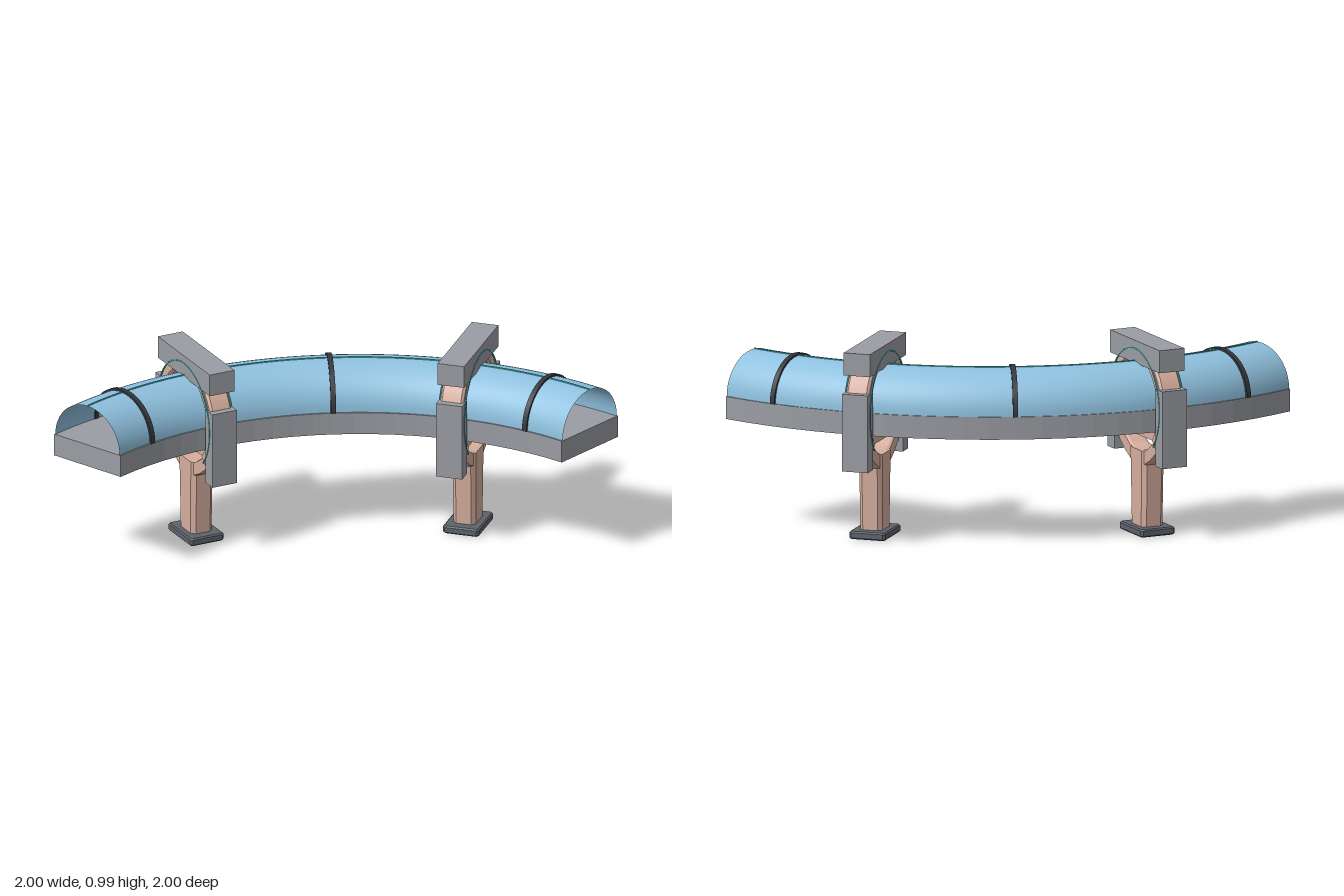
import * as THREE from 'three';

const mat = (name, color, side = THREE.FrontSide) => {
  const m = new THREE.MeshStandardMaterial({ color, side });
  m.name = name;
  return m;
};
const R = 1.782;      // centre-line radius of the bend, about the point x = 1, z = 1
const RAIL_Y = 0.67;  // top of the channel base
const RING_Y = 0.665; // centre of the support rings
const rad = THREE.MathUtils.degToRad;

export function createModel() {
  const glass = mat('blue glass', 0x8fc1df, THREE.DoubleSide);
  const grey = mat('grey metal', 0x9a9da3);
  const black = mat('black band', 0x35373d);
  const clay = mat('pink clay', 0xd6ae9e);
  const slate = mat('slate foot', 0x5d626c);
  const cyan = mat('cyan light', 0x3fcdd2);

  const model = new THREE.Group();
  model.name = 'curvedTubeway';

  const add = (parent, name, geo, material, x = 0, y = 0, z = 0) => {
    const mesh = new THREE.Mesh(geo, material);
    mesh.name = name;
    mesh.position.set(x, y, z);
    parent.add(mesh);
    return mesh;
  };
  const box = (parent, name, material, size, x, y, z = 0) =>
    add(parent, name, new THREE.BoxGeometry(...size), material, x, y, z);

  // Quarter-turn sweep of a (radial offset, height) profile
  const sweep = (profile, segments) => new THREE.LatheGeometry(
    profile.map(([r, y]) => new THREE.Vector2(R + r, y)), segments, Math.PI, Math.PI / 2);

  // Local frame across the tube: x points outward, z along the tube
  const frameAt = (name, degrees) => {
    const g = new THREE.Group();
    const a = rad(degrees);
    g.name = name;
    g.position.set(1 - R * Math.cos(a), 0, 1 - R * Math.sin(a));
    g.rotation.y = Math.PI - a;
    model.add(g);
    return g;
  };

  // Flat arc of a ring, centred on its own thickness
  const arcGeo = (inner, outer, from, to, depth, bevel = 0) => {
    const s = new THREE.Shape();
    s.absarc(0, 0, outer - bevel, rad(from), rad(to), false);
    s.absarc(0, 0, inner + bevel, rad(to), rad(from), true);
    const g = new THREE.ExtrudeGeometry(s, {
      depth: depth - 2 * bevel, curveSegments: 32, bevelEnabled: bevel > 0,
      bevelSize: bevel, bevelThickness: bevel, bevelSegments: 1,
    });
    return g.translate(0, 0, bevel - depth / 2);
  };

  // Chamfered block standing on y = 0, its top scaled by (tx, tz)
  const blockGeo = (w, h, d, cut, bevel, tx = 1, tz = 1) => {
    const x = w / 2 - bevel, z = d / 2 - bevel;
    const s = new THREE.Shape([
      [x - cut, -z], [x, cut - z], [x, z - cut], [x - cut, z],
      [cut - x, z], [-x, z - cut], [-x, cut - z], [cut - x, -z],
    ].map(p => new THREE.Vector2(...p)));
    const g = new THREE.ExtrudeGeometry(s, {
      depth: h - 2 * bevel, bevelEnabled: bevel > 0,
      bevelSize: bevel, bevelThickness: bevel, bevelSegments: 1,
    });
    g.translate(0, 0, bevel).rotateX(-Math.PI / 2);
    const p = g.attributes.position;
    for (let i = 0; i < p.count; i++) {
      const t = p.getY(i) / h;
      p.setX(i, p.getX(i) * (1 + (tx - 1) * t));
      p.setZ(i, p.getZ(i) * (1 + (tz - 1) * t));
    }
    g.computeVertexNormals();
    return g;
  };

  // Channel base with faceted sides and two end plates
  const W = 0.2175, B = 0.555;
  const base = sweep([[-W, B], [W, B], [W, RAIL_Y], [-W, RAIL_Y], [-W, B]], 24).toNonIndexed();
  base.computeVertexNormals();
  add(model, 'channelBase', base, grey, 1, 0, 1);
  const end = new THREE.PlaneGeometry(2 * W, RAIL_Y - B);
  const endY = (RAIL_Y + B) / 2;
  add(model, 'frontBaseEnd', end, grey, 1 - R, endY, 1);
  add(model, 'sideBaseEnd', end, grey, 1, endY, 1 - R).rotation.y = Math.PI / 2;

  // Half-round glass tube
  const vault = [];
  for (let i = 0; i <= 24; i++) {
    const a = Math.PI * i / 24;
    vault.push([0.21 * Math.cos(a), RAIL_Y + 0.21 * Math.sin(a)]);
  }
  add(model, 'glassTube', sweep(vault, 64), glass, 1, 0, 1);

  // Thin light strip along the crown
  const strip = sweep([[-0.004, 0.876], [0.004, 0.876], [0.004, 0.884], [-0.004, 0.884], [-0.004, 0.876]], 64)
    .toNonIndexed();
  strip.computeVertexNormals();
  add(model, 'crownLight', strip, cyan, 1, 0, 1);

  // Dark hoops around the tube
  for (const degrees of [8.4, 45, 81.6]) {
    add(frameAt('tubeHoop', degrees), 'hoop', arcGeo(0.205, 0.222, 0, 180, 0.026), black, 0, RAIL_Y - 0.002);
  }

  // Two supports
  for (const degrees of [22.5, 67.5]) {
    const g = frameAt('support', degrees);
    add(g, 'foot', blockGeo(0.255, 0.04, 0.19, 0.008, 0.007), slate);
    add(g, 'post', blockGeo(0.145, 0.39, 0.118, 0.02, 0, 1.18, 1.05), clay, 0, 0.04);
    add(g, 'ring', arcGeo(0.228, 0.298, -42, 222, 0.122, 0.012), clay, 0, RING_Y);
    box(g, 'crossbar', clay, [0.42, 0.052, 0.11], 0, 0.529);

    // Forked arms and side blocks, mirrored
    for (const s of [-1, 1]) {
      const arm = new THREE.Shape([
        [0.04, 0.425], [0.07, 0.36], [0.14, 0.395], [0.215, 0.45], [0.26, 0.52], [0.215, 0.55], [0.175, 0.49], [0.09, 0.435],
      ].map(([x, y]) => new THREE.Vector2(s * x, y)));
      const armGeo = new THREE.ExtrudeGeometry(arm, {
        depth: 0.08, bevelSize: 0.006, bevelThickness: 0.012, bevelSegments: 1,
      }).translate(0, 0, -0.04);
      add(g, 'arm', armGeo, clay);
      box(g, 'sideBlock', grey, [0.079, 0.395, 0.137], s * 0.2725, 0.5825);
      add(g, 'ringLight', new THREE.TorusGeometry(0.278, 0.004, 6, 64, rad(264)).rotateZ(rad(-42)),
        cyan, 0, RING_Y, s * 0.068);
    }
    box(g, 'topBlock', grey, [0.564, 0.115, 0.139], 0, 0.9275);
  }
  return model;
}
